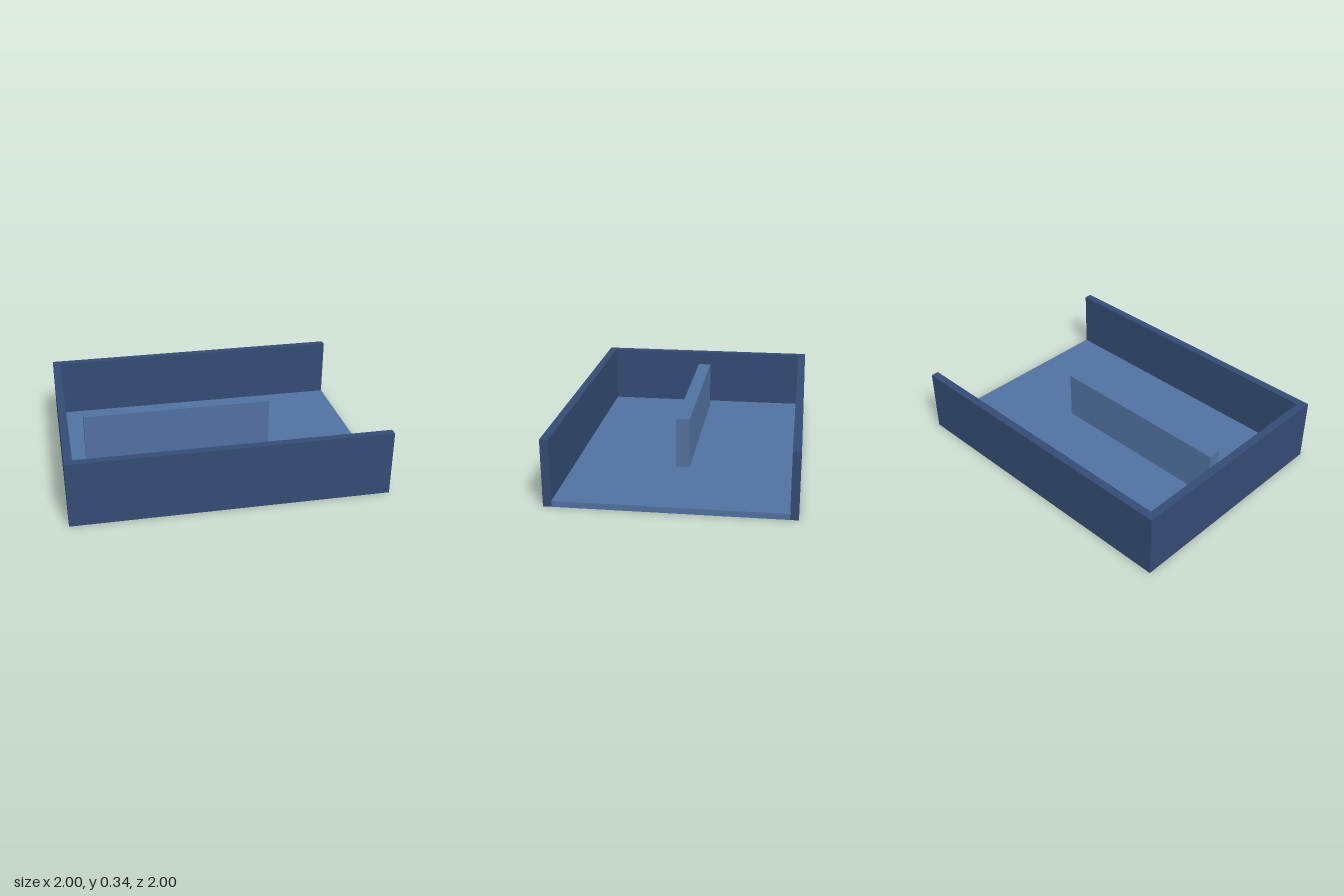
import * as THREE from 'three';

const LENGTH = 1.62, WIDTH = 1.21, HEIGHT = 0.34, WALL = 0.041, FLOOR = 0.03;

// Upright hollow shell over an outline: sides and top, open underneath
function openShell(points, height) {
  const outline = new THREE.Shape(points.map(([x, y]) => new THREE.Vector2(x, y)));
  const solid = new THREE.ExtrudeGeometry(outline, { depth: height, bevelEnabled: false });
  solid.rotateX(-Math.PI / 2);
  const source = solid.attributes.position;
  const kept = [];
  for (let i = 0; i < source.count; i += 3) {
    const corners = [i, i + 1, i + 2];
    if (corners.every((c) => source.getY(c) < 0.001)) continue;
    for (const c of corners) kept.push(source.getX(c), source.getY(c), source.getZ(c));
  }
  const shell = new THREE.BufferGeometry();
  shell.setAttribute('position', new THREE.Float32BufferAttribute(kept, 3));
  shell.computeVertexNormals();
  return shell;
}

const rectangle = (x0, x1, halfDepth) =>
  [[x0, -halfDepth], [x1, -halfDepth], [x1, halfDepth], [x0, halfDepth]];

export function createModel() {
  const wallBlue = new THREE.MeshStandardMaterial({ color: 0x344b73, side: THREE.DoubleSide });
  wallBlue.name = 'wallBlue';
  const floorBlue = new THREE.MeshStandardMaterial({ color: 0x5171a0, side: THREE.DoubleSide });
  floorBlue.name = 'floorBlue';

  const group = new THREE.Group();
  group.name = 'openTray';
  const tray = new THREE.Group();
  tray.name = 'tray';
  tray.rotation.y = Math.PI / 4;
  group.add(tray);

  function addPart(name, points, base, height, material) {
    const mesh = new THREE.Mesh(openShell(points, height), material);
    mesh.name = name;
    mesh.position.y = base;
    tray.add(mesh);
  }

  // U-shaped wall, open at one end
  const l = LENGTH / 2, w = WIDTH / 2, t = WALL;
  addPart('walls', [
    [-l, -w], [l, -w], [l, -w + t], [-l + t, -w + t],
    [-l + t, w - t], [l, w - t], [l, w], [-l, w],
  ], 0, HEIGHT, wallBlue);

  // Floor panel, a hair inside the walls, and the central divider
  const gap = 0.001;
  addPart('floor', rectangle(-l + t + gap, l, w - t - gap), 0, FLOOR, floorBlue);
  addPart('divider', rectangle(-0.682, 0.318, 0.035), FLOOR, 0.29 - FLOOR, floorBlue);

  return group;
}
